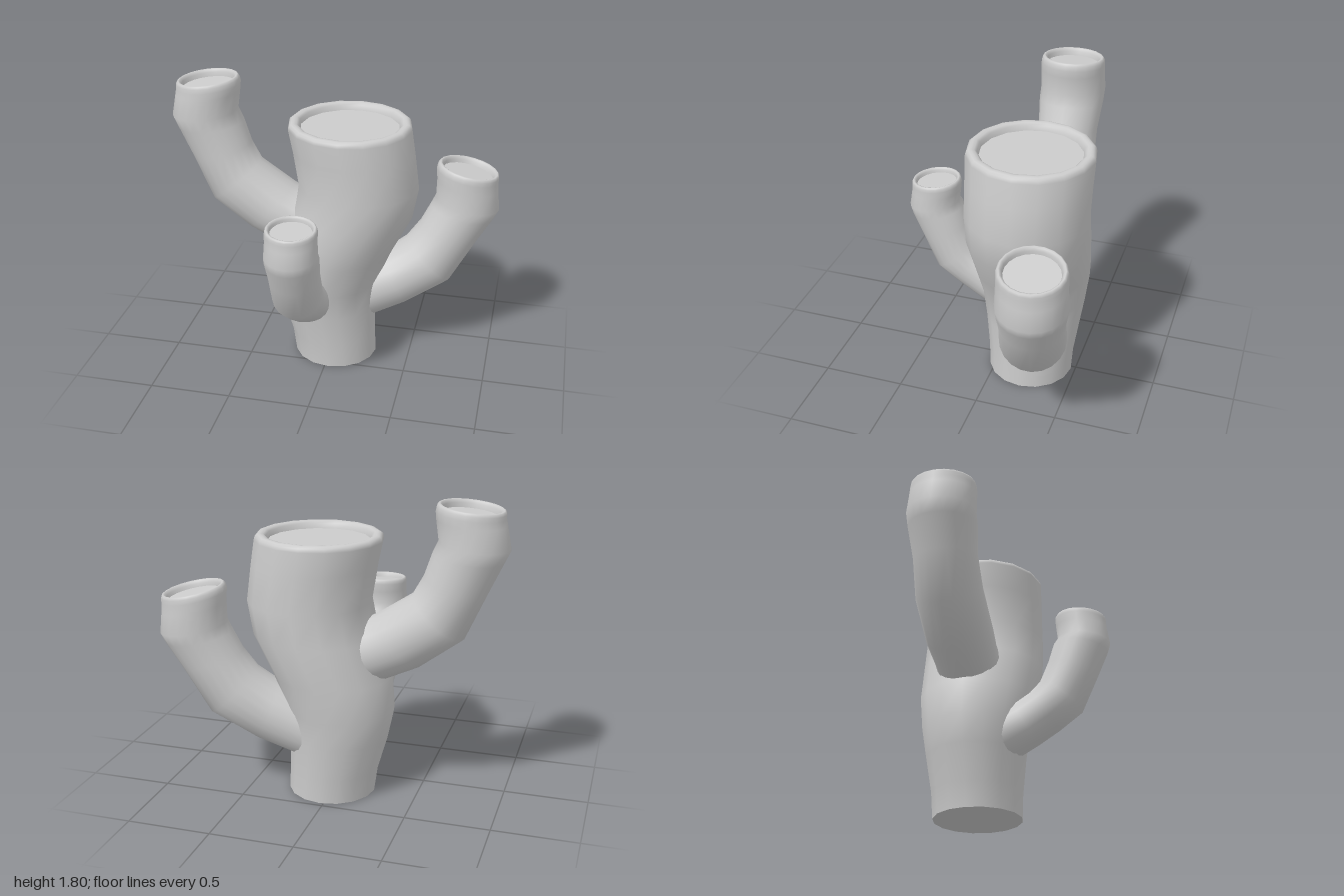
import * as THREE from 'three';

const material = new THREE.MeshStandardMaterial({ color: 0xcccccc });

// A limb is lofted through tilted rings. Each ring is [s1, y1, s2, y2]: its two
// opposite edge points in the vertical plane that runs along "dir" from "origin".
function limb(name, origin, dir, rings, sides, round, depth) {
  const group = new THREE.Group();
  group.name = name;
  const unit = dir.clone().normalize();
  const side = new THREE.Vector3(0, 1, 0).cross(unit);
  const frames = rings.map(([s1, y1, s2, y2]) => {
    const center = origin.clone().addScaledVector(dir, (s1 + s2) / 2);
    center.y += (y1 + y2) / 2;
    const a = unit.clone().multiplyScalar((s2 - s1) / 2);
    a.y = (y2 - y1) / 2;
    return { center, a, b: side.clone().multiplyScalar(a.length()) };
  });

  // rounded rim and recessed inner wall, as [radius factor, height along the axis]
  const top = frames.pop();
  const normal = top.a.clone().cross(top.b).normalize();
  const rim = [[1, -round], [0.985, -round * 0.4], [0.95, -round * 0.1], [0.91, 0],
    [0.86, -round * 0.1], [0.82, -round * 0.45], [0.8, -depth]];
  for (const [k, h] of rim) {
    frames.push({
      center: top.center.clone().addScaledVector(normal, h),
      a: top.a.clone().multiplyScalar(k),
      b: top.b.clone().multiplyScalar(k),
    });
  }

  const ringPoint = (f, j) => {
    const t = (j / sides) * Math.PI * 2;
    return f.center.clone().addScaledVector(f.a, Math.cos(t)).addScaledVector(f.b, Math.sin(t));
  };
  const build = (part, points, index) => {
    const g = new THREE.BufferGeometry().setFromPoints(points);
    g.setIndex(index);
    g.computeVertexNormals();
    const mesh = new THREE.Mesh(g, material);
    mesh.name = part;
    group.add(mesh);
  };

  // bark skin
  const points = [], index = [];
  frames.forEach((f, i) => {
    for (let j = 0; j < sides; j++) {
      points.push(ringPoint(f, j));
      if (i === frames.length - 1) continue;
      const p = i * sides + j, q = i * sides + ((j + 1) % sides);
      index.push(p, q, q + sides, p, q + sides, p + sides);
    }
  });
  build(name + 'Bark', points, index);

  // flat discs: cut face in the recess, and the underside
  const disc = (part, f, flip) => {
    const pts = [f.center], idx = [];
    for (let j = 0; j < sides; j++) {
      pts.push(ringPoint(f, j));
      const p = j + 1, q = ((j + 1) % sides) + 1;
      idx.push(0, flip ? q : p, flip ? p : q);
    }
    build(part, pts, idx);
  };
  disc(name + 'CutFace', frames[frames.length - 1], false);
  disc(name + 'Underside', frames[0], true);
  return group;
}

export function createModel() {
  const model = new THREE.Group();
  model.name = 'treeStump';
  const v = (x, y, z) => new THREE.Vector3(x, y, z);

  // trunk, bulging to one side and then the other
  model.add(limb('trunk', v(0, 0, -0.21), v(1, 0, 0), [
    [-0.24, 0, 0.285, 0],
    [-0.26, 0.15, 0.278, 0.15],
    [-0.32, 0.36, 0.272, 0.36],
    [-0.355, 0.53, 0.285, 0.53],
    [-0.335, 0.74, 0.37, 0.74],
    [-0.25, 0.98, 0.49, 0.98],
    [-0.21, 1.18, 0.525, 1.18],
    [-0.245, 1.4, 0.495, 1.4],
    [-0.275, 1.58, 0.472, 1.58],
  ], 16, 0.035, 0.045));

  // tall branch on the right
  model.add(limb('rightBranch', v(0, 0, -0.215), v(1, 0, 0), [
    [-0.17, 0.67, -0.02, 1.03],
    [-0.33, 0.75, -0.19, 1.1],
    [-0.52, 0.84, -0.25, 1.13],
    [-0.76, 1.02, -0.46, 1.27],
    [-0.88, 1.29, -0.52, 1.38],
    [-0.965, 1.475, -0.567, 1.52],
    [-1.0, 1.55, -0.6, 1.59],
    [-0.975, 1.68, -0.583, 1.71],
    [-0.972, 1.762, -0.583, 1.802],
  ], 20, 0.045, 0.045));

  // low branch on the left, leaning slightly backwards
  model.add(limb('leftBranch', v(0, 0, -0.238), v(1, 0, -0.24), [
    [0.0, 0.54, 0.14, 0.2],
    [0.3, 0.67, 0.45, 0.335],
    [0.44, 0.77, 0.72, 0.5],
    [0.52, 0.88, 0.88, 0.78],
    [0.58, 1.0, 0.97, 0.93],
    [0.605, 1.055, 1.0, 0.99],
    [0.607, 1.18, 0.988, 1.11],
    [0.61, 1.29, 0.992, 1.215],
  ], 20, 0.045, 0.04));

  // small branch at the front
  model.add(limb('frontBranch', v(-0.103, 0, 0), v(0, 0, 1), [
    [-0.18, 0.54, -0.02, 0.28],
    [0.03, 0.63, 0.18, 0.39],
    [0.14, 0.7, 0.3, 0.465],
    [0.2, 0.76, 0.44, 0.57],
    [0.25, 0.88, 0.535, 0.78],
    [0.285, 0.99, 0.6, 0.93],
    [0.31, 1.025, 0.618, 0.985],
    [0.3, 1.1, 0.602, 1.08],
    [0.298, 1.18, 0.602, 1.155],
  ], 20, 0.03, 0.03));

  return model;
}
